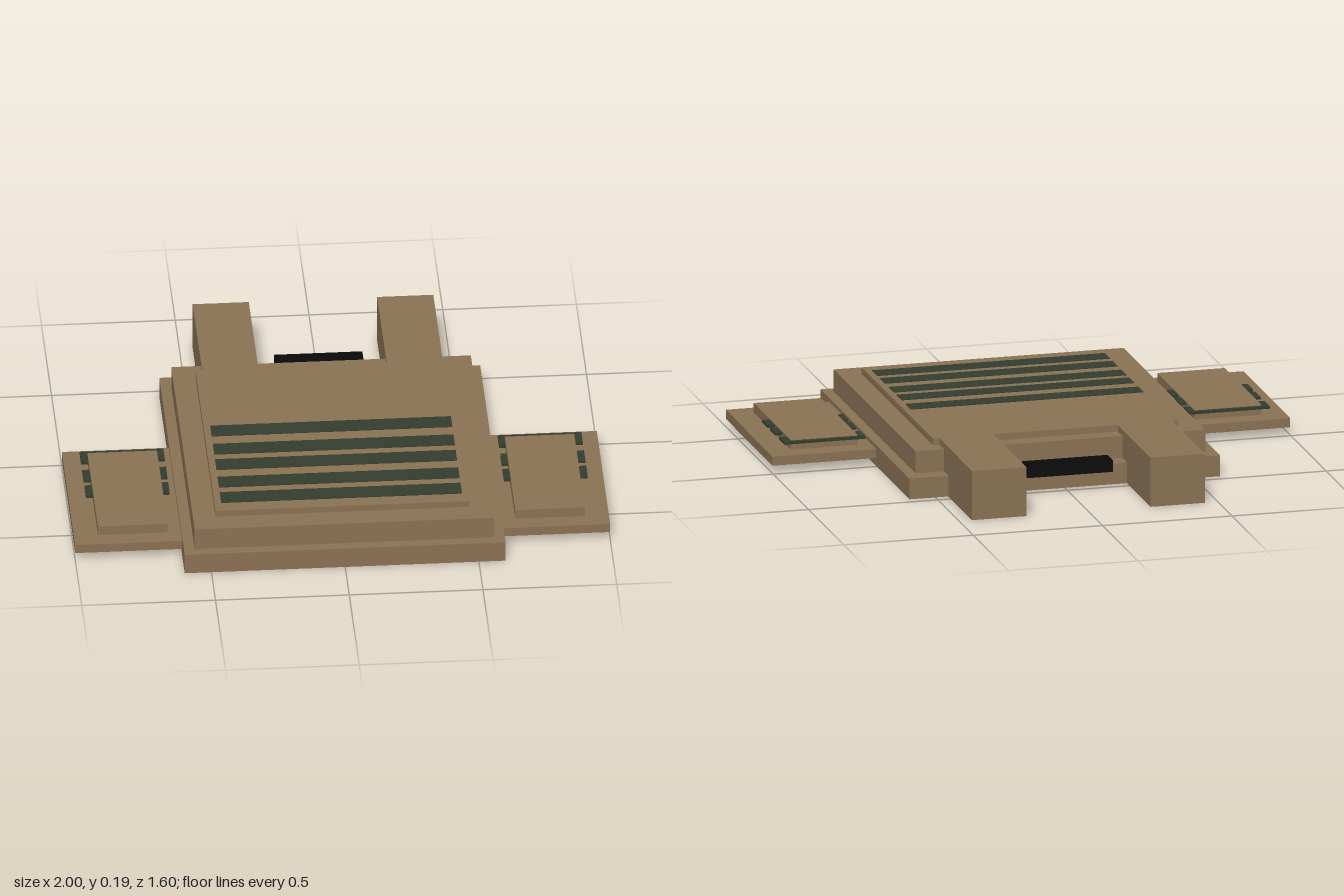
import * as THREE from 'three';

export function createModel() {
  const model = new THREE.Group();
  model.name = 'vest';

  const material = (name, color) => {
    const m = new THREE.MeshStandardMaterial({ color });
    m.name = name;
    return m;
  };
  const tan = material('tan fabric', 0x8b7355);
  const green = material('dark green webbing', 0x343d2e);
  const black = material('black handle', 0x0a0a0a);

  // Box given by its extents along each axis
  const box = (name, mat, [x0, x1], [y0, y1], [z0, z1]) => {
    const geo = new THREE.BoxGeometry(x1 - x0, y1 - y0, z1 - z0);
    const mesh = new THREE.Mesh(geo, mat);
    mesh.position.set((x0 + x1) / 2, (y0 + y1) / 2, (z0 + z1) / 2);
    mesh.name = name;
    model.add(mesh);
  };
  // The same box on both sides
  const pair = (name, mat, [x0, x1], y, z) => {
    box(name + 'Left', mat, [x0, x1], y, z);
    box(name + 'Right', mat, [-x1, -x0], y, z);
  };

  // Stepped body
  box('bodyBase', tan, [-0.6, 0.6], [0, 0.08], [-0.465, 0.8]);
  box('bodyMiddle', tan, [-0.56, 0.56], [0.08, 0.165], [-0.4, 0.76]);
  box('frontPlate', tan, [-0.475, 0.475], [0.165, 0.19], [-0.335, 0.675]);

  // Shoulder straps and the grab handle between them
  pair('shoulderStrap', tan, [0.24, 0.45], [0, 0.19], [-0.8, -0.335]);
  box('grabHandle', black, [-0.165, 0.165], [0.07, 0.115], [-0.54, -0.463]);

  // Side panels with raised pouches
  pair('sidePanel', tan, [0.6, 1], [0.03, 0.065], [0.01, 0.675]);
  pair('sidePouch', tan, [0.65, 0.91], [0.065, 0.102], [0.085, 0.61]);

  // Webbing rows on the front plate; the first three continue on the sides
  [0.07, 0.2, 0.31, 0.435, 0.545].forEach((z, i) => {
    const row = [z, z + 0.075];
    box('frontWebbing' + (i + 1), green, [-0.45, 0.45], [0.186, 0.192], row);
    if (i < 3) pair('sideWebbing' + (i + 1), green, [0.625, 0.938], [0.09, 0.1], row);
  });

  return model;
}
